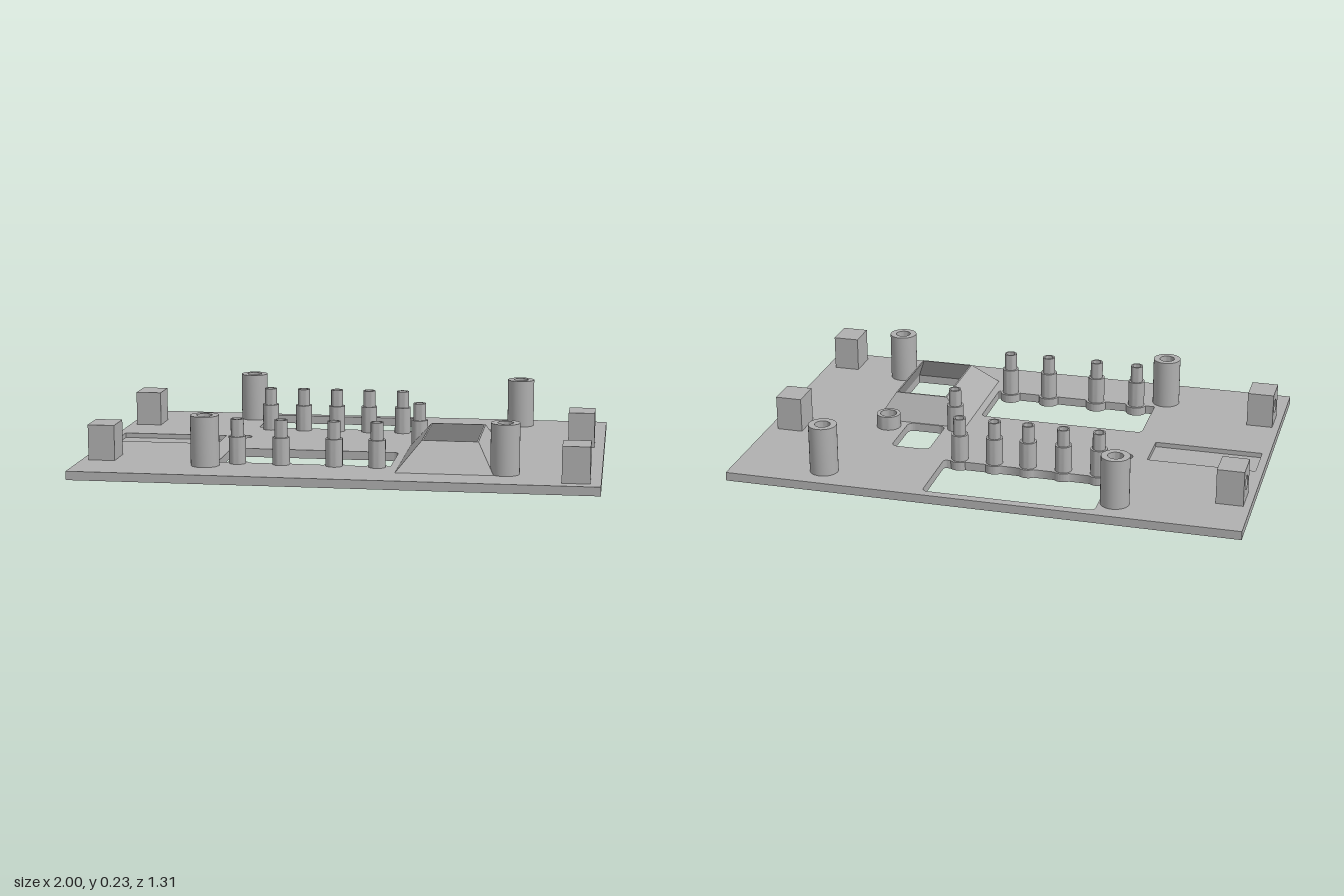
import * as THREE from 'three';
import { toCreasedNormals } from 'three/addons/utils/BufferGeometryUtils.js';

const TOP = 0.034, FLOOR = 0.015; // plate top, and level of the recess floor

export function createModel() {
  const model = new THREE.Group();
  model.name = 'mountingPlate';
  const grey = new THREE.MeshStandardMaterial({ color: 0xb0b0b0 });
  grey.name = 'grey';

  const add = (name, geometry, x = 0, y = 0, z = 0) => {
    const mesh = new THREE.Mesh(toCreasedNormals(geometry, 0.6), grey);
    mesh.name = name;
    mesh.position.set(x, y, z);
    model.add(mesh);
    return mesh;
  };

  const backPins = [-0.39, -0.25, -0.11, 0.025, 0.165].map((x) => [x, -0.3]);
  const frontPins = [-0.39, -0.22, -0.015, 0.15].map((x) => [x, 0.41]);
  const pins = [...backPins, ...frontPins, [0.265, -0.025]];
  const boss = [0.535, -0.065];

  // Outline helpers: shape y is world z
  const circle = (x, z, r) => new THREE.Path().absarc(x, z, r, 0, Math.PI * 2, false);
  const rect = (x0, x1, z0, z1) => new THREE.Path([[x0, z0], [x1, z0], [x1, z1], [x0, z1]]
    .map(([x, z]) => new THREE.Vector2(x, z)));

  // Rounded window whose front edge bulges around the pins
  const pinWindow = (x0, x1, z0, z1, r, row = [], rf = r) => {
    const p = new THREE.Path();
    p.moveTo(x0 + r, z0);
    p.lineTo(x1 - r, z0);
    p.quadraticCurveTo(x1, z0, x1, z0 + r);
    p.lineTo(x1, z1 - rf);
    p.quadraticCurveTo(x1, z1, x1 - rf, z1);
    for (const [x, z] of [...row].reverse()) {
      const R = 0.042, d = z - z1, h = Math.sqrt(R * R - d * d);
      p.absarc(x, z, R, Math.atan2(-d, h), Math.atan2(-d, -h), true);
    }
    p.lineTo(x0 + rf, z1);
    p.quadraticCurveTo(x0, z1, x0, z1 - rf);
    p.lineTo(x0, z0 + r);
    p.quadraticCurveTo(x0, z0, x0 + r, z0);
    return p;
  };

  // Plate in two layers: counterbores below, shallow recess above
  const layer = (name, y0, y1, extraHoles) => {
    const s = new THREE.Shape(rect(-1, 1, -0.656, 0.656).getPoints());
    s.holes.push(
      pinWindow(-0.445, 0.222, -0.62, -0.33, 0.025, backPins, 0.015),
      pinWindow(-0.47, 0.2, 0.128, 0.403, 0.025, frontPins, 0.007),
      pinWindow(0.31, 0.465, -0.25, -0.015, 0.03),
      rect(0.25, 0.58, 0.01, 0.49),
      circle(...boss, 0.033),
      ...extraHoles);
    const g = new THREE.ExtrudeGeometry(s, { depth: y1 - y0, bevelEnabled: false, curveSegments: 20 });
    add(name, g.rotateX(Math.PI / 2), 0, y1, 0);
  };
  layer('plateBottom', 0, FLOOR, [...pins.map(([x, z]) => circle(x, z, 0.03)), circle(-0.46, -0.115, 0.035)]);
  layer('plateTop', FLOOR, TOP, [...pins.map(([x, z]) => circle(x, z, 0.018)),
    circle(-0.46, -0.115, 0.025), rect(-0.97, -0.545, -0.125, 0.047)]);

  // Turned parts from radius/height profiles, outside up then bore down
  const turned = (profile) => new THREE.LatheGeometry(profile.map(([r, y]) => new THREE.Vector2(r, y)), 32);

  // Stepped hollow pins
  for (const [x, z] of pins) {
    add('pin', turned([[0.033, TOP], [0.033, 0.14], [0.025, 0.14], [0.025, 0.207],
      [0.018, 0.207], [0.018, TOP]]), x, 0, z);
  }

  // Low ring boss
  add('ringBoss', turned([[0.048, TOP], [0.048, 0.09], [0.033, 0.09], [0.033, TOP]]), boss[0], 0, boss[1]);

  // Corner posts with blind screw holes
  for (const x of [-0.505, 0.64]) {
    for (const z of [-0.54, 0.466]) {
      add('cornerPost', turned([[0.055, TOP], [0.055, 0.228], [0.03, 0.228], [0.03, 0.09], [0, 0.09]]), x, 0, z);
    }
  }

  // Edge blocks with a blind hole in the outward face
  const H = 0.138, W = 0.125, D = 0.104, DEPTH = 0.07;
  const drilled = new THREE.Shape(rect(-W / 2, W / 2, 0, H).getPoints());
  drilled.holes.push(circle(0, 0.07, 0.028));
  for (const [side, x, z] of [[-1, -0.92, -0.384], [-1, -0.92, 0.375], [1, 0.908, -0.147], [1, 0.908, 0.546]]) {
    const front = new THREE.ExtrudeGeometry(drilled, { depth: DEPTH, bevelEnabled: false, curveSegments: 20 });
    front.translate(0, 0, D / 2 - DEPTH).rotateY(side * Math.PI / 2);
    add('edgeBlockFront', front, x, TOP, z);
    add('edgeBlockBack', new THREE.BoxGeometry(D - DEPTH, H, W), x - side * DEPTH / 2, TOP + H / 2, z);
  }

  // Sloped hollow bezel: outer base, outer rim, inner rim, inner base
  const rings = [
    [0.23, 0.6, -0.01, 0.51, TOP],
    [0.32, 0.535, 0.04, 0.405, 0.14],
    [0.326, 0.529, 0.046, 0.399, 0.14],
    [0.25, 0.58, 0.01, 0.49, TOP],
  ].map(([x0, x1, z0, z1, y]) => [[x0, y, z1], [x1, y, z1], [x1, y, z0], [x0, y, z0]]);
  const verts = [];
  for (let k = 0; k < 3; k++) {
    for (let i = 0; i < 4; i++) {
      const j = (i + 1) % 4;
      const a = rings[k][i], b = rings[k][j], c = rings[k + 1][j], d = rings[k + 1][i];
      verts.push(...a, ...b, ...c, ...a, ...c, ...d);
    }
  }
  const bezel = new THREE.BufferGeometry();
  bezel.setAttribute('position', new THREE.Float32BufferAttribute(verts, 3));
  bezel.computeVertexNormals();
  add('slopedBezel', bezel);

  return model;
}
